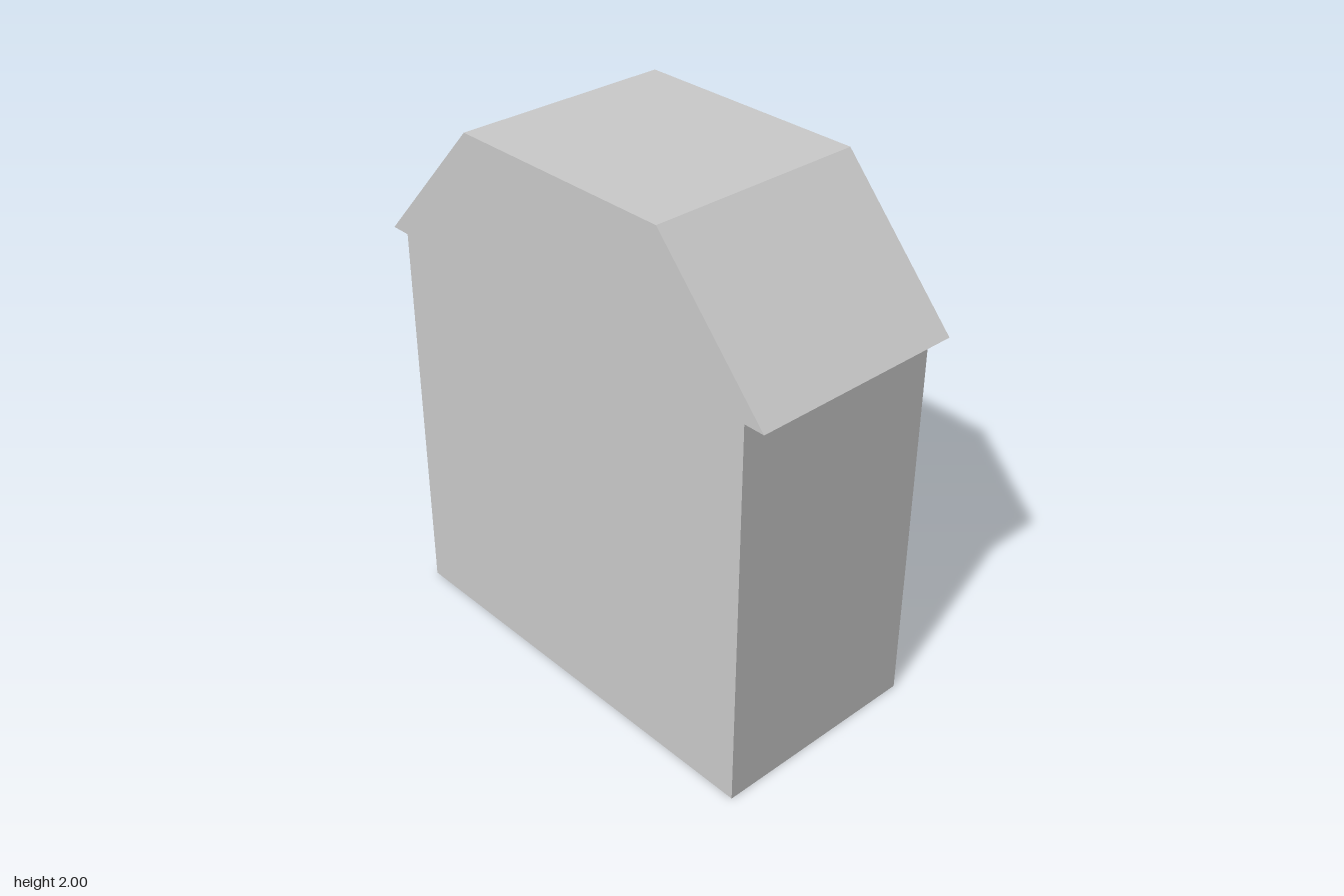
import * as THREE from 'three';

const WIDTH = 0.832;   // along x
const EAVE_Y = 1.5;
const TOP_Y = 2;
const WALL_Z = 0.835;  // half depths along z
const EAVE_Z = 0.915;
const ROOF_TOP_Z = 0.457;

export function createModel() {
  const group = new THREE.Group();
  group.name = 'house';

  // Half of the side profile: wall, overhanging eave, slope to the flat top
  const half = [[WALL_Z, 0], [WALL_Z, EAVE_Y], [EAVE_Z, EAVE_Y], [ROOF_TOP_Z, TOP_Y]];
  const mirrored = half.map(([z, y]) => [-z, y]).reverse();
  const profile = new THREE.Shape([...half, ...mirrored].map(([z, y]) => new THREE.Vector2(z, y)));

  // One closed solid, extruded across the width
  const geometry = new THREE.ExtrudeGeometry(profile, { depth: WIDTH, bevelEnabled: false });
  geometry.translate(0, 0, -WIDTH / 2);
  geometry.rotateY(-Math.PI / 2);

  const material = new THREE.MeshStandardMaterial({ color: 0xcccccc, flatShading: true });
  const house = new THREE.Mesh(geometry, material);
  house.name = 'wallsAndRoof';
  group.add(house);
  return group;
}
